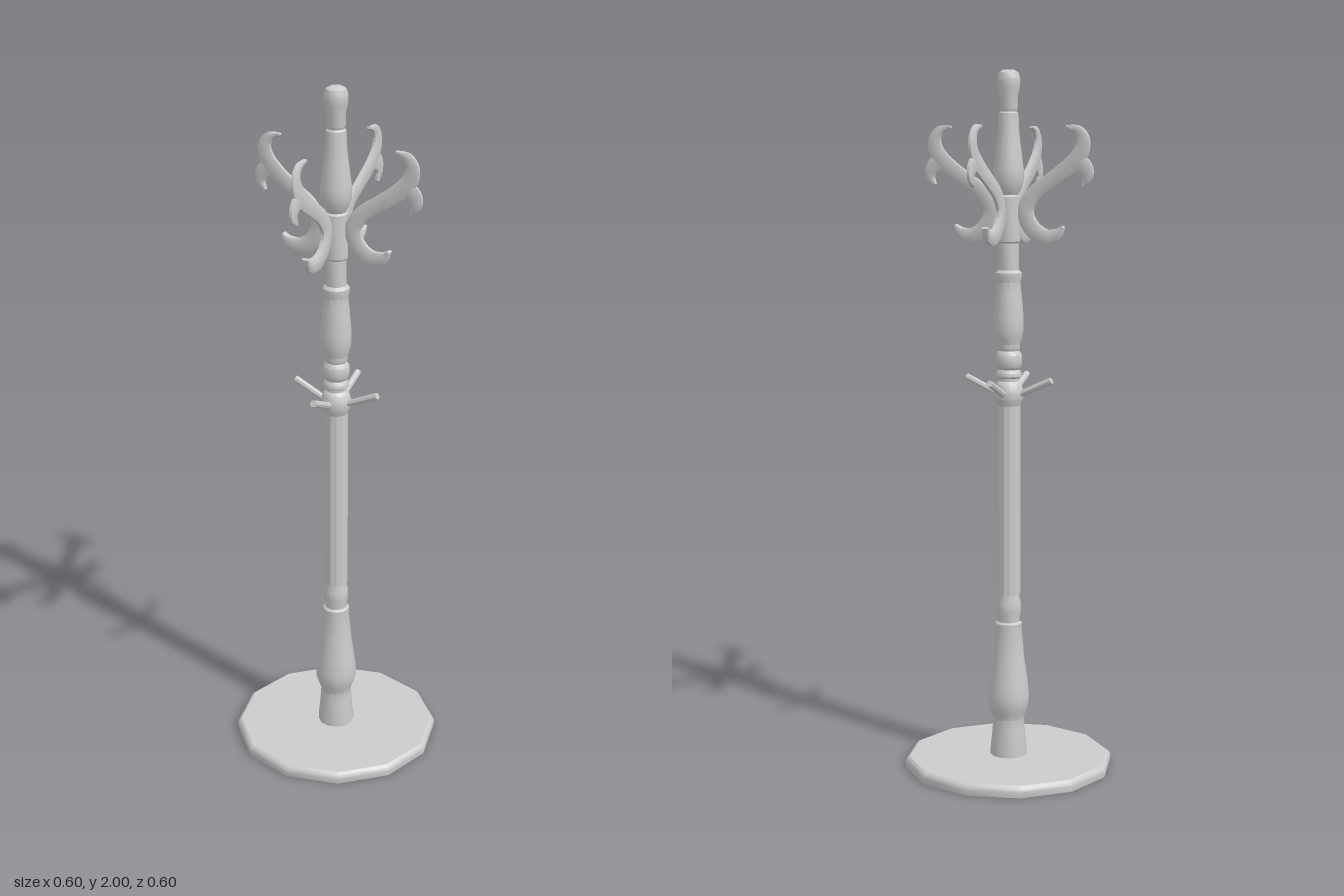
import * as THREE from 'three';
import { toCreasedNormals } from 'three/addons/utils/BufferGeometryUtils.js';

const grey = new THREE.MeshStandardMaterial({ color: 0xcccccc });
const greyFlat = new THREE.MeshStandardMaterial({ color: 0xcccccc, flatShading: true });
const greyOpen = new THREE.MeshStandardMaterial({ color: 0xcccccc, side: THREE.DoubleSide });

function add(parent, name, geometry, material = grey) {
  const mesh = new THREE.Mesh(geometry, material);
  mesh.name = name;
  parent.add(mesh);
  return mesh;
}

// Twelve-sided turned part; profile pairs are [radius, height], bottom to top
function turned(profile) {
  const points = profile.map(([r, y]) => new THREE.Vector2(r, y));
  return toCreasedNormals(new THREE.LatheGeometry(points, 12), 0.6);
}

// Bevelled bar section as [across, sideways] factors
const section = [[1, -0.55], [1, 0.55], [0.65, 1], [-0.65, 1],
  [-1, 0.55], [-1, -0.55], [-0.65, -1], [0.65, -1]];

// Tapered bent horn: stations are [x, y, sideways drift, half width]
function horn(stations, steps, drift, depthStart, depthEnd) {
  const path = new THREE.CatmullRomCurve3(
    stations.map(([x, y, z]) => new THREE.Vector3(x, y, z * drift)));
  const sides = section.length, positions = [], index = [];
  for (let i = 0; i <= steps; i++) {
    const t = i / steps, f = t * (stations.length - 1);
    const k = Math.min(Math.floor(f), stations.length - 2);
    const w = THREE.MathUtils.lerp(stations[k][3], stations[k + 1][3], f - k);
    const depth = THREE.MathUtils.lerp(depthStart, depthEnd, t);
    const p = path.getPoint(t), d = path.getTangent(t);
    const n = new THREE.Vector2(-d.y, d.x).normalize();
    section.forEach(([c, s]) => {
      positions.push(p.x + n.x * c * w, p.y + n.y * c * w, p.z + s * depth);
    });
  }
  for (let i = 0; i < steps; i++) {
    for (let j = 0; j < sides; j++) {
      const a = i * sides + j, b = i * sides + (j + 1) % sides;
      index.push(a, b, a + sides, b, b + sides, a + sides);
    }
  }
  // End caps
  const last = steps * sides;
  for (let j = 1; j < sides - 1; j++) {
    index.push(0, j + 1, j, last, last + j, last + j + 1);
  }
  const geometry = new THREE.BufferGeometry();
  geometry.setAttribute('position', new THREE.Float32BufferAttribute(positions, 3));
  geometry.setIndex(index);
  return toCreasedNormals(geometry, 0.9);
}

export function createModel() {
  const model = new THREE.Group();
  model.name = 'coatStand';

  // Bevelled base plate with a hole under the post
  add(model, 'base', turned([
    [0.05, 0], [0.3, 0], [0.302, 0.018], [0.298, 0.027], [0.29, 0.033],
    [0.05, 0.033], [0.05, 0],
  ]));

  // Turned post, from the base up to the shaft
  add(model, 'lowerPost', turned([
    [0.053, 0.02], [0.053, 0.05], [0.047, 0.11], [0.045, 0.143], [0.053, 0.165],
    [0.059, 0.185], [0.06, 0.21], [0.056, 0.25], [0.046, 0.32], [0.038, 0.41],
    [0.039, 0.425], [0.032, 0.43], [0.032, 0.44], [0.036, 0.46], [0.036, 0.485],
    [0.03, 0.505], [0.03, 0.515],
  ]), greyOpen);

  // Straight faceted shaft
  add(model, 'shaft', new THREE.CylinderGeometry(0.034, 0.034, 0.58, 12)
    .translate(0, 0.8, 0), greyFlat);

  // Rounded collar that holds the pegs, then rings and vase
  add(model, 'upperPost', turned([
    [0.034, 1.06], [0.042, 1.08], [0.043, 1.1], [0.037, 1.122], [0.029, 1.13],
    [0.029, 1.138], [0.037, 1.143], [0.037, 1.153], [0.03, 1.163], [0.036, 1.17],
    [0.039, 1.185], [0.038, 1.205], [0.03, 1.217], [0.033, 1.223], [0.033, 1.235],
    [0.039, 1.25], [0.043, 1.275], [0.043, 1.31], [0.038, 1.37], [0.034, 1.41],
    [0.038, 1.425], [0.038, 1.437], [0.029, 1.445], [0.029, 1.52], [0.033, 1.525],
    [0.033, 1.65], [0.027, 1.655], [0.027, 1.665],
  ]), greyOpen);

  // Top vase and knob
  add(model, 'finial', turned([
    [0.027, 1.655], [0.035, 1.67], [0.043, 1.695], [0.043, 1.725], [0.036, 1.78],
    [0.03, 1.83], [0.028, 1.88], [0.023, 1.885], [0.026, 1.893], [0.026, 1.93],
    [0.032, 1.95], [0.033, 1.975], [0.028, 1.992], [0.016, 1.999], [0, 2],
  ]));

  // Four scrolled hooks; opposite ones mirror each other
  const quarter = Math.PI / 2;
  [[0, -1], [quarter, 1], [2 * quarter, 1], [-quarter, -1]].forEach(([angle, drift]) => {
    const hook = new THREE.Group();
    hook.name = 'hook';
    hook.rotation.y = angle;
    add(hook, 'scrollArm', horn([
      [0.165, 1.568, -0.002, 0.004], [0.145, 1.546, -0.002, 0.018],
      [0.11, 1.539, -0.001, 0.023], [0.07, 1.564, 0, 0.024],
      [0.052, 1.61, 0, 0.023], [0.076, 1.656, 0, 0.022],
      [0.13, 1.696, 0.002, 0.021], [0.19, 1.738, 0.005, 0.024],
      [0.22, 1.773, 0.006, 0.023], [0.226, 1.807, 0.006, 0.019],
      [0.211, 1.833, 0.006, 0.013], [0.176, 1.844, 0.006, 0.003],
    ], 36, drift, 0.01, 0.006));
    add(hook, 'hookSpur', horn([
      [0.185, 1.743, 0.005, 0.019], [0.215, 1.743, 0.006, 0.025],
      [0.235, 1.726, 0.006, 0.021], [0.239, 1.704, 0.006, 0.015],
      [0.225, 1.681, 0.006, 0.004],
    ], 14, drift, 0.007, 0.006));
    model.add(hook);
  });

  // Four slanted pegs around the collar
  for (let i = 0; i < 4; i++) {
    const peg = new THREE.Group();
    peg.name = 'peg';
    peg.rotation.y = i * quarter;
    const rod = add(peg, 'pegRod', toCreasedNormals(
      new THREE.CylinderGeometry(0.01, 0.009, 0.115, 8), 0.9));
    rod.position.set(0.079, 1.113, 0);
    rod.rotation.z = -1.15;
    model.add(peg);
  }

  return model;
}
